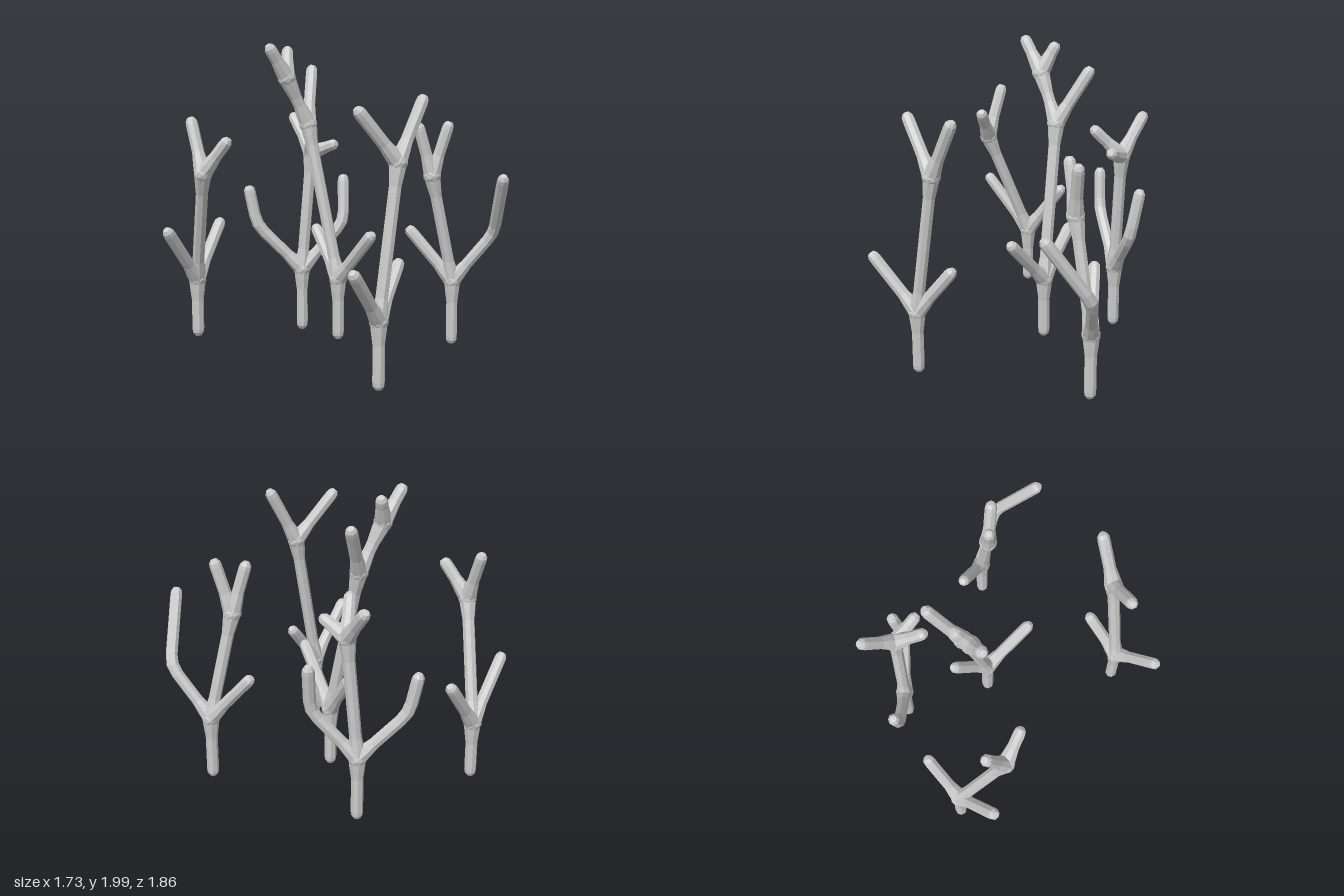
import * as THREE from 'three';

const SIDES = 8, R = 0.039, FORK_R = 0.056, FLARE = 0.14;
const material = new THREE.MeshStandardMaterial({ color: 0xcccccc, flatShading: true });

// Each node is [x, y, z, ...children]; one child is a bend, several are a fork.
const corals = {
  frontLeftCoral: [-0.68, 0.11, 0.62, [-0.68, 0.47, 0.62,
    [-0.76, 0.81, 0.38], [-0.58, 0.83, 0.9],
    [-0.41, 1.2, 0.74, [-0.54, 1.52, 0.735], [-0.26, 1.41, 0.66]]]],
  centreCoral: [-0.07, 0.1, -0.06, [-0.07, 0.48, -0.06,
    [0.25, 0.81, -0.065], [-0.31, 0.78, -0.07],
    [-0.275, 1.47, 0.02,
      [-0.425, 1.81, -0.13],
      [-0.3, 1.77, 0.17, [-0.3, 1.965, 0.305], [-0.37, 1.94, 0.11]]]]],
  rightCoral: [0.73, 0.025, 0.29, [0.73, 0.42, 0.29,
    [0.83, 0.755, 0.57], [0.645, 0.725, 0.06],
    [0.72, 1.34, 0.14, [0.66, 1.65, 0.395], [0.73, 1.7, -0.045]]]],
  backLeftCoral: [-0.63, 0.025, -0.2, [-0.63, 0.43, -0.2,
    [-0.79, 0.74, 0.06, [-0.83, 0.99, 0.095]],
    [-0.475, 0.75, -0.44, [-0.52, 1.05, -0.475]],
    [-0.6, 1.23, -0.26,
      [-0.81, 1.46, -0.27], [-0.45, 1.42, -0.15], [-0.42, 1.3, -0.315]]]],
  backCoral: [0.285, 0.025, -0.74, [0.285, 0.43, -0.74,
    [0.05, 0.76, -0.57],
    [0.49, 0.76, -0.91, [0.72, 1.16, -0.745]],
    [0.25, 1.14, -0.58, [0.21, 1.46, -0.495], [0.32, 1.47, -0.655]]]],
};

const position = (node) => new THREE.Vector3(node[0], node[1], node[2]);
const children = (node) => node.slice(3);
const toward = (a, b, d) => b.clone().sub(a).setLength(d).add(a);

// Ring positions and radii for one limb, from its corner points.
function limbRings(points, startsAtFork, endsAtFork) {
  const end = (p, next, fork) => fork
    ? [[p, FORK_R], [toward(p, next, FLARE * 0.5), FORK_R * 0.86], [toward(p, next, FLARE), R]]
    : [[toward(p, next, -0.02), 0], [toward(p, next, -0.018), R * 0.55],
      [toward(p, next, 0.004), R * 0.93], [toward(p, next, 0.03), R]];
  const n = points.length;
  const rings = end(points[0], points[1], startsAtFork);
  for (let i = 1; i < n - 1; i++) {
    const before = toward(points[i], points[i - 1], 0.07);
    const after = toward(points[i], points[i + 1], 0.07);
    const middle = before.clone().add(after).multiplyScalar(0.25).addScaledVector(points[i], 0.5);
    rings.push([before, R], [middle, R * 1.04], [after, R]);
  }
  return rings.concat(end(points[n - 1], points[n - 2], endsAtFork).reverse());
}

// Eight-sided skin swept through the rings with a carried-along frame.
function limbGeometry(rings) {
  const vertices = [], indices = [];
  const normal = new THREE.Vector3(1, 0, 0.001);
  rings.forEach(([centre, radius], i) => {
    const previous = rings[Math.max(i - 1, 0)][0];
    const next = rings[Math.min(i + 1, rings.length - 1)][0];
    const tangent = next.clone().sub(previous).normalize();
    normal.addScaledVector(tangent, -normal.dot(tangent)).normalize();
    const binormal = tangent.clone().cross(normal);
    for (let j = 0; j < SIDES; j++) {
      const angle = ((j + 0.5) / SIDES) * Math.PI * 2;
      const v = centre.clone()
        .addScaledVector(normal, Math.cos(angle) * radius)
        .addScaledVector(binormal, Math.sin(angle) * radius);
      vertices.push(v.x, v.y, v.z);
      if (i === 0) continue;
      const b = i * SIDES + j, b2 = i * SIDES + ((j + 1) % SIDES);
      const a = b - SIDES, a2 = b2 - SIDES;
      if (rings[i - 1][1] > 0) indices.push(a, a2, b);
      if (radius > 0) indices.push(a2, b2, b);
    }
  });
  const geometry = new THREE.BufferGeometry();
  geometry.setAttribute('position', new THREE.Float32BufferAttribute(vertices, 3));
  geometry.setIndex(indices);
  const flat = geometry.toNonIndexed();
  flat.computeVertexNormals();
  return flat;
}

function addPart(group, name, geometry) {
  const mesh = new THREE.Mesh(geometry, material);
  mesh.name = name;
  group.add(mesh);
  return mesh;
}

// Follow a limb through its bends to a tip or fork, then grow the next limbs.
function grow(group, start, first, startsAtFork) {
  const points = [position(start), position(first)];
  let node = first;
  while (children(node).length === 1) {
    node = children(node)[0];
    points.push(position(node));
  }
  const kids = children(node);
  const isFork = kids.length > 1;
  const name = !startsAtFork ? 'stem' : isFork ? 'trunk' : 'branch';
  addPart(group, name, limbGeometry(limbRings(points, startsAtFork, isFork)));
  if (!isFork) return;
  // Rounded knuckle closing the fork
  addPart(group, 'forkKnuckle', new THREE.IcosahedronGeometry(FORK_R * 1.06, 1))
    .position.copy(position(node));
  kids.forEach((kid) => grow(group, node, kid, true));
}

export function createModel() {
  const model = new THREE.Group();
  model.name = 'branchingCorals';
  for (const [name, root] of Object.entries(corals)) {
    const coral = new THREE.Group();
    coral.name = name;
    grow(coral, root, children(root)[0], false);
    model.add(coral);
  }
  return model;
}
